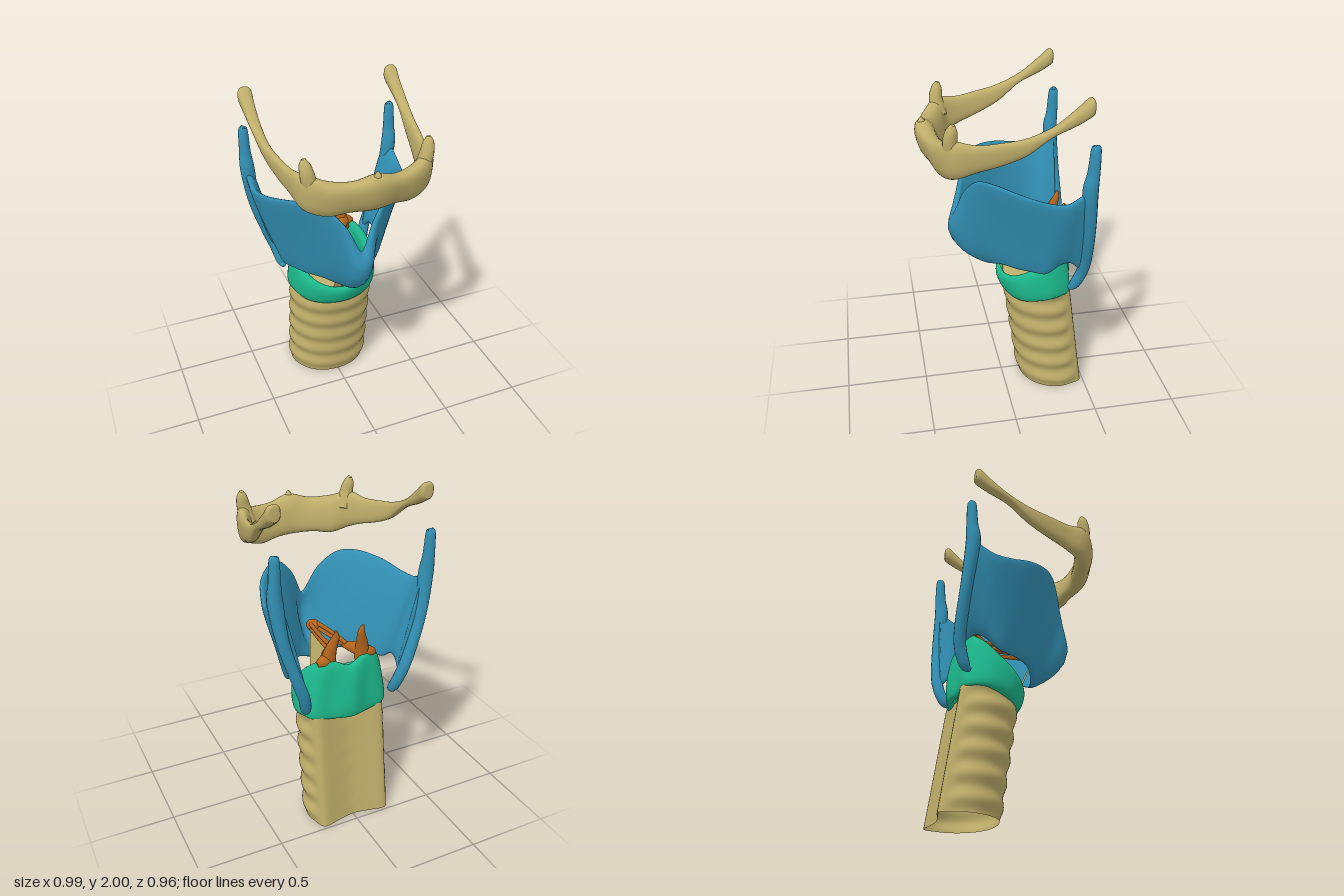
import * as THREE from 'three';
import { mergeVertices, toCreasedNormals } from 'three/addons/utils/BufferGeometryUtils.js';

const mat = (color, side = THREE.FrontSide) => new THREE.MeshStandardMaterial({ color, side });
const bone = mat(0xbfae6a), boneSheet = mat(0xbfae6a, THREE.DoubleSide);
const blue = mat(0x3290b4), green = mat(0x1cb98c), orange = mat(0xb5651d);

function add(parent, name, geometry, material) {
  const mesh = new THREE.Mesh(geometry, material);
  mesh.name = name;
  parent.add(mesh);
  return mesh;
}

// Catmull-Rom through rows of numbers, t from 0 to 1
function sample(rows, t, closed) {
  const n = rows.length, span = closed ? n : n - 1;
  const i = Math.min(Math.floor(t * span), span - 1), f = t * span - i;
  const at = k => rows[closed ? (k + n) % n : Math.max(0, Math.min(n - 1, k))];
  const [a, b, c, d] = [at(i - 1), at(i), at(i + 1), at(i + 2)];
  return b.map((_, j) => b[j] + 0.5 * f * (c[j] - a[j] + f * (2 * a[j] - 5 * b[j] + 4 * c[j] - d[j]
    + f * (3 * (b[j] - c[j]) + d[j] - a[j]))));
}

// Skin a list of rings; wrap joins last to first, otherwise caps may be added
function loft(rings, { wrap = false, caps = true } = {}) {
  const m = rings[0].length, pos = [], idx = [];
  rings.forEach(r => r.forEach(p => pos.push(p.x, p.y, p.z)));
  for (let i = 0; i < rings.length - (wrap ? 0 : 1); i++) {
    const i2 = (i + 1) % rings.length;
    for (let j = 0; j < m; j++) {
      const j2 = (j + 1) % m, a = i * m + j, b = i * m + j2, c = i2 * m + j2, d = i2 * m + j;
      idx.push(a, b, c, a, c, d);
    }
  }
  if (!wrap && caps) {
    [0, rings.length - 1].forEach(i => {
      const mid = new THREE.Vector3();
      rings[i].forEach(p => mid.addScaledVector(p, 1 / m));
      const c = pos.push(mid.x, mid.y, mid.z) / 3 - 1;
      for (let j = 0; j < m; j++) {
        const a = i * m + j, b = i * m + (j + 1) % m;
        idx.push(...(i ? [a, b, c] : [b, a, c]));
      }
    });
  }
  // turn the faces outwards if the enclosed volume is negative
  const P = k => new THREE.Vector3().fromArray(pos, idx[k] * 3);
  let volume = 0;
  for (let k = 0; k < idx.length; k += 3) volume += P(k).dot(P(k + 1).cross(P(k + 2)));
  if (volume < 0) idx.reverse();
  const g = new THREE.BufferGeometry();
  g.setAttribute('position', new THREE.Float32BufferAttribute(pos, 3));
  g.setIndex(idx);
  g.computeVertexNormals();
  return g;
}

// Rounded wall, mirrored in x, from rows running front to back:
// [top x,y,z, bottom x,y,z, thickness, outward bulge]
function wall(half, { closed = false, inset = 1, steps = 96, power = 0.65 } = {}) {
  const mirror = half.slice(1, closed ? -1 : undefined).reverse()
    .map(r => r.map((v, j) => (j === 0 || j === 3 ? -v : v)));
  const rows = [...mirror, ...half];
  const count = closed ? steps : steps + 1, list = [];
  for (let i = 0; i < count; i++) list.push(sample(rows, i / steps, closed));
  const soft = v => Math.sign(v) * Math.abs(v) ** power;
  const rings = list.map((r, i) => {
    const p = list[closed ? (i + count - 1) % count : Math.max(0, i - 1)];
    const q = list[closed ? (i + 1) % count : Math.min(count - 1, i + 1)];
    const inward = new THREE.Vector3(q[2] + q[5] - p[2] - p[5], 0, p[0] + p[3] - q[0] - q[3]).normalize();
    const top = new THREE.Vector3(r[0], r[1], r[2]), bottom = new THREE.Vector3(r[3], r[4], r[5]);
    return Array.from({ length: 28 }, (_, j) => {
      const a = j / 28 * Math.PI * 2, k = (1 + soft(Math.cos(a))) / 2;
      const shift = r[6] / 2 * (inset + soft(Math.sin(a))) - r[7] * 4 * k * (1 - k);
      return bottom.clone().lerp(top, k).addScaledVector(inward, shift);
    });
  });
  return loft(rings, { wrap: closed });
}

// Tapered limb through rows [x, y, z, radius]; s mirrors it in x
function limb(rows, s = 1, steps = 32, sides = 14) {
  const pts = Array.from({ length: steps + 1 }, (_, i) => sample(rows, i / steps));
  const V = r => new THREE.Vector3(s * r[0], r[1], r[2]);
  const axis = V(rows[rows.length - 1]).sub(V(rows[0])).normalize();
  const ref = Math.abs(axis.z) > 0.7 ? new THREE.Vector3(0, 1, 0) : new THREE.Vector3(0, 0, 1);
  return loft(pts.map((r, i) => {
    const dir = V(pts[Math.min(steps, i + 1)]).sub(V(pts[Math.max(0, i - 1)])).normalize();
    const u = new THREE.Vector3().crossVectors(dir, ref).normalize();
    const v = new THREE.Vector3().crossVectors(dir, u);
    return Array.from({ length: sides }, (_, j) => {
      const a = j / sides * Math.PI * 2;
      return V(r).addScaledVector(u, Math.cos(a) * r[3]).addScaledVector(v, Math.sin(a) * r[3]);
    });
  }));
}

// Windpipe: ringed front and sides, hollowed smooth back, leaning backwards downwards
function windpipe() {
  const half = [[0, 0.19], [0.1, 0.175], [0.19, 0.12], [0.247, 0.03], [0.26, -0.06],
    [0.235, -0.14], [0.2, -0.184], [0.1, -0.165], [0, -0.15]];
  const outline = [...half, ...half.slice(1, -1).reverse().map(([x, z]) => [-x, z])];
  const rings = [];
  for (let i = 0; i <= 60; i++) {
    const y = 0.71 * i / 60;
    rings.push(Array.from({ length: 64 }, (_, j) => {
      const [x, z] = sample(outline, j / 64, true);
      const ridge = THREE.MathUtils.smoothstep(z, -0.17, -0.1);
      const k = 1 + 0.032 * ridge * Math.cos((y - 0.07 + 0.02 * x) / 0.132 * Math.PI * 2);
      return new THREE.Vector3(x * k, y, z * k - 0.3 + 0.14 * y);
    }));
  }
  return toCreasedNormals(mergeVertices(loft(rings, { caps: false })), 0.8);
}

export function createModel() {
  const model = new THREE.Group();
  model.name = 'larynx';

  add(model, 'windpipe', windpipe(), boneSheet);

  // Ring cartilage: low in front, a tall narrowing plate at the back
  add(model, 'ringCartilage', wall([
    [0, 0.78, 0.035, 0, 0.645, -0.01, 0.05, 0.01],
    [0.13, 0.8, 0, 0.13, 0.645, -0.04, 0.05, 0.01],
    [0.22, 0.85, -0.08, 0.225, 0.66, -0.1, 0.055, 0.01],
    [0.26, 0.915, -0.18, 0.28, 0.685, -0.2, 0.065, 0.005],
    [0.24, 0.995, -0.27, 0.29, 0.7, -0.28, 0.07, 0],
    [0.175, 1.05, -0.35, 0.24, 0.7, -0.38, 0.07, -0.005],
    [0.09, 1.04, -0.385, 0.13, 0.69, -0.405, 0.06, -0.01],
    [0, 1.005, -0.395, 0, 0.685, -0.43, 0.06, 0.01],
  ], { closed: true }), green);

  // Membrane inside the ring, and the band rising to the front joint of the cords
  const membrane = add(model, 'innerMembrane', new THREE.CircleGeometry(1, 40), boneSheet);
  membrane.scale.set(0.225, 0.18, 1);
  membrane.rotation.x = -Math.PI / 2 + 0.2;
  membrane.position.set(0, 0.795, -0.185);
  const band = new THREE.PlaneGeometry(1, 1, 6, 4), bp = band.attributes.position;
  for (let i = 0; i < bp.count; i++) {
    const k = bp.getY(i) + 0.5, x = bp.getX(i) * (0.16 - 0.1 * k);
    bp.setXYZ(i, x, 0.775 + 0.23 * k, -0.01 + 0.1 * k);
  }
  band.computeVertexNormals();
  add(model, 'frontLigament', band, boneSheet);

  // Shield cartilage: two plates meeting in a notched ridge
  add(model, 'shieldCartilage', wall([
    [0, 1.2, 0.295, 0, 0.835, 0.105, 0.06, 0.095],
    [0.1, 1.37, 0.25, 0.08, 0.865, 0.085, 0.05, 0.03],
    [0.2, 1.47, 0.19, 0.16, 0.9, 0.04, 0.05, 0],
    [0.3, 1.49, 0.11, 0.24, 0.905, -0.04, 0.05, -0.01],
    [0.4, 1.465, -0.02, 0.29, 0.905, -0.12, 0.05, -0.01],
    [0.455, 1.43, -0.16, 0.335, 0.91, -0.2, 0.05, -0.01],
    [0.485, 1.425, -0.27, 0.345, 0.965, -0.28, 0.055, 0],
    [0.488, 1.47, -0.36, 0.345, 0.97, -0.35, 0.06, 0],
    [0.482, 1.5, -0.42, 0.335, 0.9, -0.42, 0.06, 0],
  ]), blue);

  // Hyoid arch with its long rear horns
  add(model, 'hyoidArch', wall([
    [0, 1.775, 0.435, 0, 1.55, 0.38, 0.12, 0.005],
    [0.12, 1.745, 0.415, 0.12, 1.55, 0.36, 0.11, 0],
    [0.24, 1.75, 0.375, 0.23, 1.535, 0.335, 0.11, 0],
    [0.34, 1.78, 0.31, 0.33, 1.565, 0.295, 0.09, 0],
    [0.38, 1.765, 0.2, 0.365, 1.61, 0.19, 0.06, 0],
    [0.41, 1.78, 0.07, 0.395, 1.65, 0.07, 0.055, 0],
    [0.43, 1.805, -0.06, 0.42, 1.71, -0.06, 0.055, 0],
    [0.44, 1.865, -0.2, 0.435, 1.805, -0.18, 0.06, 0],
    [0.44, 1.95, -0.31, 0.44, 1.86, -0.3, 0.07, 0],
    [0.44, 2.0, -0.37, 0.44, 1.9, -0.37, 0.082, 0],
    [0.44, 1.99, -0.392, 0.44, 1.915, -0.392, 0.055, 0],
  ], { inset: 0, power: 0.8 }), bone);
  add(model, 'hyoidMidPoint', limb([[0, 1.7, 0.42, 0.035], [0, 1.765, 0.44, 0.022], [0, 1.795, 0.44, 0.006]]), bone);

  for (const [s, side] of [[1, 'left'], [-1, 'right']]) {
    add(model, side + 'HyoidSmallHorn', limb([[0.31, 1.68, 0.31, 0.045], [0.33, 1.77, 0.325, 0.04],
      [0.342, 1.835, 0.317, 0.031], [0.345, 1.87, 0.31, 0.012]], s), bone);
    // rear edge of the shield plate with its upper and lower horns
    add(model, side + 'ShieldHorn', limb([[0.456, 1.75, -0.41, 0.012], [0.457, 1.73, -0.41, 0.027],
      [0.457, 1.6, -0.405, 0.034], [0.452, 1.48, -0.395, 0.043], [0.42, 1.25, -0.415, 0.035],
      [0.35, 1.02, -0.428, 0.034], [0.308, 0.9, -0.42, 0.034], [0.282, 0.8, -0.385, 0.03],
      [0.278, 0.775, -0.35, 0.012]], s, 56), blue);
    // pivot cartilage: upright peak, outer arm and forward arm
    const pivot = new THREE.Group();
    pivot.name = side + 'PivotCartilage';
    model.add(pivot);
    add(pivot, 'peak', limb([[0.11, 1.0, -0.31, 0.045], [0.1, 1.1, -0.325, 0.035],
      [0.08, 1.19, -0.35, 0.02], [0.086, 1.235, -0.36, 0.007]], s), orange);
    add(pivot, 'outerArm', limb([[0.08, 1.04, -0.31, 0.03], [0.14, 1.04, -0.325, 0.036],
      [0.182, 1.03, -0.325, 0.018]], s), orange);
    add(pivot, 'forwardArm', limb([[0.11, 1.05, -0.31, 0.042], [0.075, 1.05, -0.25, 0.032],
      [0.045, 1.045, -0.2, 0.015]], s), orange);
    // paired vocal cords
    for (const y of [0, 0.03]) {
      add(model, side + (y ? 'UpperCord' : 'LowerCord'), limb([[0.055 - y / 4, 1.04 + y, -0.23, 0.012],
        [0.04, 1.035 + y, -0.06, 0.012], [0.02, 1.03 + y, 0.1, 0.013]], s, 12, 8), orange);
    }
  }

  // Front joint of the cords
  const joint = add(model, 'cordJoint', new THREE.SphereGeometry(1, 20, 14), orange);
  joint.scale.set(0.042, 0.035, 0.045);
  joint.position.set(0, 1.045, 0.107);

  return model;
}
